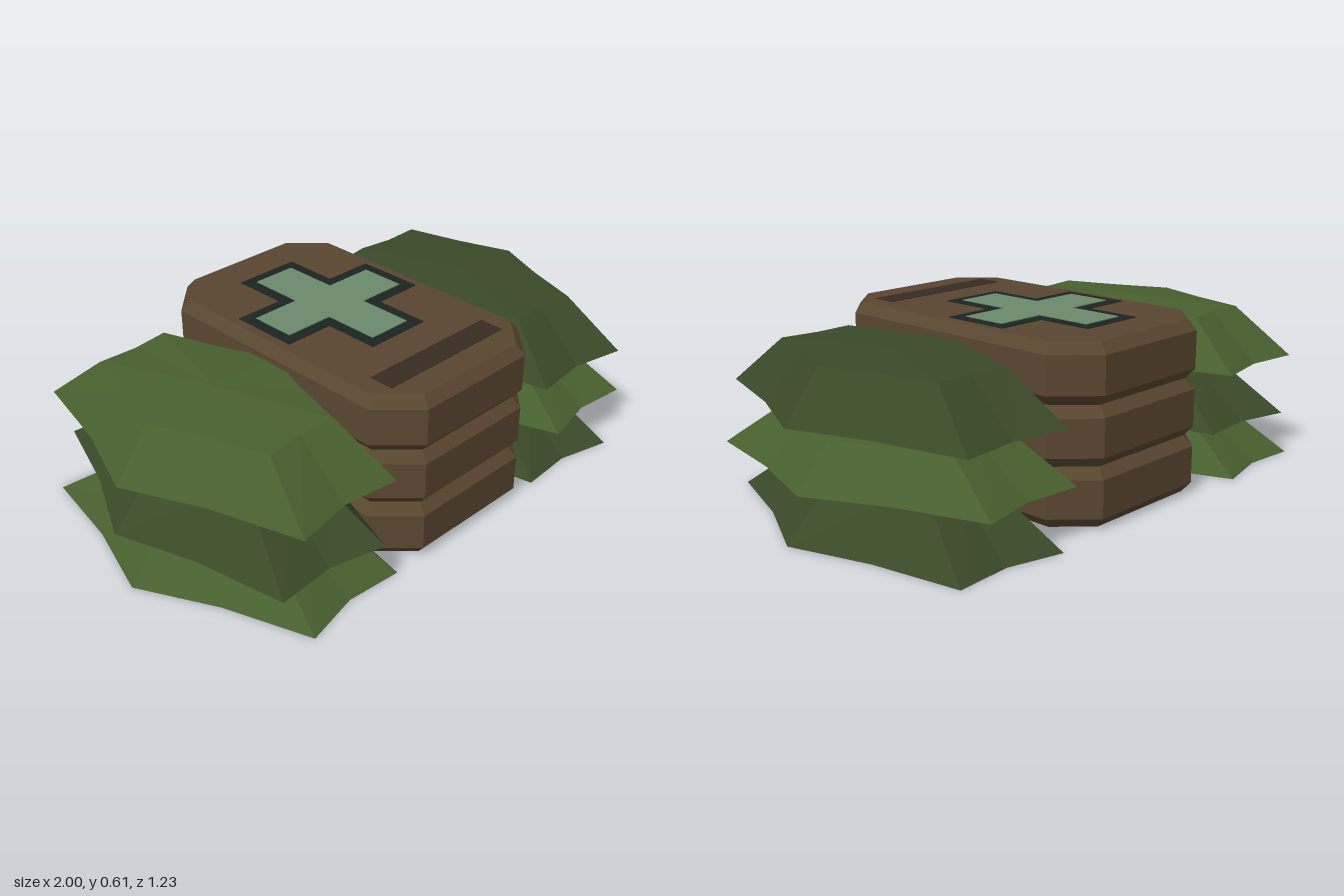
import * as THREE from 'three';

const mat = (color) => new THREE.MeshStandardMaterial({ color, flatShading: true });

// Polygon shape from [x, y] pairs
const poly = (pts) => new THREE.Shape(pts.map(([x, y]) => new THREE.Vector2(x, y)));

// Bevelled slab with clipped corners, standing on y = 0
function slabGeometry(hx, hz, cut, height, bevel, rise) {
  const x = hx - bevel, z = hz - bevel, c = cut - bevel * (2 - Math.SQRT2);
  const shape = poly([
    [x, -z + c], [x, z - c], [x - c, z], [-x + c, z],
    [-x, z - c], [-x, -z + c], [-x + c, -z], [x - c, -z],
  ]);
  const g = new THREE.ExtrudeGeometry(shape, {
    depth: height - 2 * rise, bevelEnabled: true, bevelSegments: 1,
    bevelSize: bevel, bevelThickness: rise,
  });
  return g.translate(0, 0, rise).rotateX(-Math.PI / 2);
}

// Star-edged leaf pad: outer ring, raised inner ring, shallow peak, flat underside
function padGeometry(height) {
  const N = 12, pos = [], idx = [];
  const rings = [
    { a: 0.4, b: 0.69, y: 0, valley: 0.82 },
    { a: 0.27, b: 0.46, y: height - 0.017, valley: 0.84 },
  ];
  for (const { a, b, y, valley } of rings) {
    for (let i = 0; i < N; i++) {
      const t = (i / N) * Math.PI * 2, r = i % 2 ? valley : 1;
      pos.push(a * r * Math.cos(t), y, b * r * Math.sin(t));
    }
  }
  pos.push(0, height, 0, 0, 0, 0);
  const peak = 2 * N, base = peak + 1;
  for (let i = 0; i < N; i++) {
    const j = (i + 1) % N;
    idx.push(i, N + i, j, j, N + i, N + j); // sloping skirt
    idx.push(N + i, peak, N + j); // top
    idx.push(i, j, base); // underside
  }
  const g = new THREE.BufferGeometry();
  g.setAttribute('position', new THREE.Float32BufferAttribute(pos, 3));
  g.setIndex(idx);
  const flat = g.toNonIndexed();
  flat.computeVertexNormals();
  return flat;
}

// Plus sign: half widths of both bars and half lengths
const plus = (w, lx, h, lz) => poly([
  [w, -lz], [w, -h], [lx, -h], [lx, h], [w, h], [w, lz],
  [-w, lz], [-w, h], [-lx, h], [-lx, -h], [-w, -h], [-w, -lz],
]);

export function createModel() {
  const group = new THREE.Group();
  const add = (name, geometry, material, x = 0, y = 0, z = 0) => {
    const mesh = new THREE.Mesh(geometry, material);
    mesh.name = name;
    mesh.position.set(x, y, z);
    group.add(mesh);
    return mesh;
  };

  const brown = mat(0x5a4630), darkBrown = mat(0x382c20);
  const lightGreen = mat(0x48602f), darkGreen = mat(0x3a4a28);
  const black = mat(0x1c2422), mint = mat(0x6c8a6c);

  // Stack of three slabs
  const slab = slabGeometry(0.365, 0.585, 0.13, 0.202, 0.03, 0.036);
  for (let i = 0; i < 3; i++) add('slab' + (i + 1), slab, brown, 0, 0.003 + i * 0.202, 0);

  // Leaf pads on both sides, slightly turned, greens alternating
  const layers = [
    { y: 0, h: 0.16, turn: 5 },
    { y: 0.18, h: 0.16, turn: -4 },
    { y: 0.383, h: 0.185, turn: 2.5 },
  ];
  layers.forEach(({ y, h, turn }, i) => {
    const geometry = padGeometry(h);
    for (const s of [1, -1]) {
      const light = (i % 2 === 1) === (s === 1);
      const pad = add((s > 0 ? 'left' : 'right') + 'LeafPad' + (i + 1), geometry,
        light ? lightGreen : darkGreen, s * 0.6, y, 0);
      pad.rotation.y = -s * THREE.MathUtils.degToRad(turn);
    }
  });

  // Plus sign with dark border, and a strip, on the lid
  const thin = (shape, depth) =>
    new THREE.ExtrudeGeometry(shape, { depth, bevelEnabled: false }).rotateX(-Math.PI / 2);
  add('plusBorder', thin(plus(0.123, 0.305, 0.125, 0.328), 0.004), black, 0, 0.607, -0.088);
  add('plusSign', thin(plus(0.082, 0.265, 0.083, 0.288), 0.007), mint, 0, 0.607, -0.088);
  add('lidStrip', new THREE.BoxGeometry(0.534, 0.008, 0.09), darkBrown, 0, 0.607, 0.415);

  return group;
}
